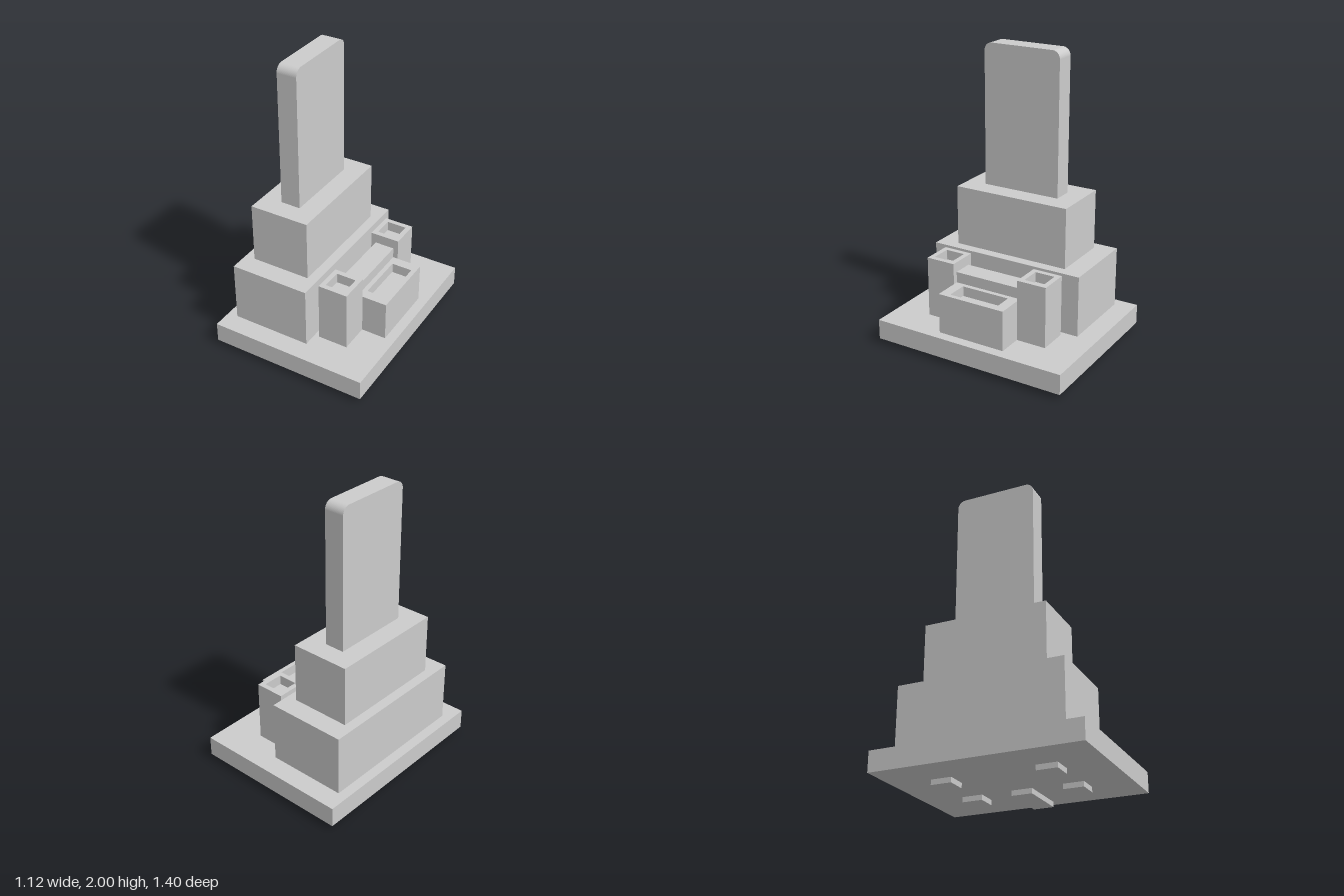
import * as THREE from 'three';

const material = new THREE.MeshStandardMaterial({ color: 0xcccccc });

// Box given by its min/max on each axis
function block(name, [x0, x1], [y0, y1], [z0, z1]) {
  const mesh = new THREE.Mesh(new THREE.BoxGeometry(x1 - x0, y1 - y0, z1 - z0), material);
  mesh.position.set((x0 + x1) / 2, (y0 + y1) / 2, (z0 + z1) / 2);
  mesh.name = name;
  return mesh;
}

// Rectangle path centred on the origin with rounded corners
function roundedRect(path, w, h, r) {
  const x = w / 2, y = h / 2;
  path.moveTo(-x + r, -y);
  path.lineTo(x - r, -y);
  path.absarc(x - r, -y + r, r, -Math.PI / 2, 0);
  path.absarc(x - r, y - r, r, 0, Math.PI / 2);
  path.absarc(-x + r, y - r, r, Math.PI / 2, Math.PI);
  path.absarc(-x + r, -y + r, r, Math.PI, Math.PI * 1.5);
  return path;
}

// Solid box with a shallow recess sunk into its top
function socket(name, [x0, x1], [y0, y1], [z0, z1], hole, depth) {
  const group = new THREE.Group();
  group.name = name;
  const w = x1 - x0, d = z1 - z0;
  const rim = new THREE.Shape([
    new THREE.Vector2(-w / 2, -d / 2), new THREE.Vector2(w / 2, -d / 2),
    new THREE.Vector2(w / 2, d / 2), new THREE.Vector2(-w / 2, d / 2)]);
  rim.holes.push(roundedRect(new THREE.Path(), hole.w, hole.d, hole.r));
  const geometry = new THREE.ExtrudeGeometry(rim, { depth, bevelEnabled: false, curveSegments: 4 });
  geometry.rotateX(-Math.PI / 2);
  const top = new THREE.Mesh(geometry, material);
  top.name = name + 'Rim';
  top.position.set((x0 + x1) / 2, y1 - depth, (z0 + z1) / 2);
  group.add(top, block(name + 'Body', [x0, x1], [y0, y1 - depth], [z0, z1]));
  return group;
}

export function createModel() {
  const model = new THREE.Group();
  model.name = 'steppedTower';

  // Base plate and stepped blocks
  model.add(
    block('basePlate', [-0.56, 0.56], [0.035, 0.175], [-0.7, 0.7]),
    block('lowerBlock', [-0.49, 0.07], [0.175, 0.6], [-0.56, 0.56]),
    block('upperBlock', [-0.42, 0], [0.6, 1.02], [-0.42, 0.42]));

  // Upright slab, rounded at its two top corners
  const y0 = 1.02, y1 = 2, half = 0.28, r = 0.055;
  const outline = new THREE.Shape();
  outline.moveTo(-half, y0);
  outline.lineTo(half, y0);
  outline.lineTo(half, y1 - r);
  outline.absarc(half - r, y1 - r, r, 0, Math.PI / 2);
  outline.absarc(-half + r, y1 - r, r, Math.PI / 2, Math.PI);
  const slab = new THREE.Mesh(
    new THREE.ExtrudeGeometry(outline, { depth: 0.14, bevelEnabled: false, curveSegments: 12 }), material);
  slab.name = 'uprightSlab';
  slab.rotation.y = Math.PI / 2;
  slab.position.x = -0.28;
  model.add(slab);

  // Two socket posts joined by a bridge
  for (const [name, z] of [['frontPost', 0.35], ['backPost', -0.35]]) {
    model.add(socket(name, [0.105, 0.315], [0.175, 0.6], [z - 0.105, z + 0.105],
      { w: 0.14, d: 0.14, r: 0.002 }, 0.07));
  }
  model.add(block('bridge', [0.14, 0.28], [0.175, 0.53], [-0.245, 0.245]));

  // Low tray beside the bridge
  const tray = socket('tray', [0.28, 0.49], [0.175, 0.455], [-0.245, 0.245],
    { w: 0.146, d: 0.35, r: 0.008 }, 0.07);
  model.add(tray);

  // Feet under the plate
  for (const x of [-0.21, 0.21]) for (const z of [-0.35, 0.35]) {
    model.add(block('foot', [x - 0.07, x + 0.07], [0, 0.035], [z - 0.07, z + 0.07]));
  }
  model.add(block('longFoot', [0.14, 0.49], [0, 0.035], [-0.07, 0.07]));

  return model;
}
